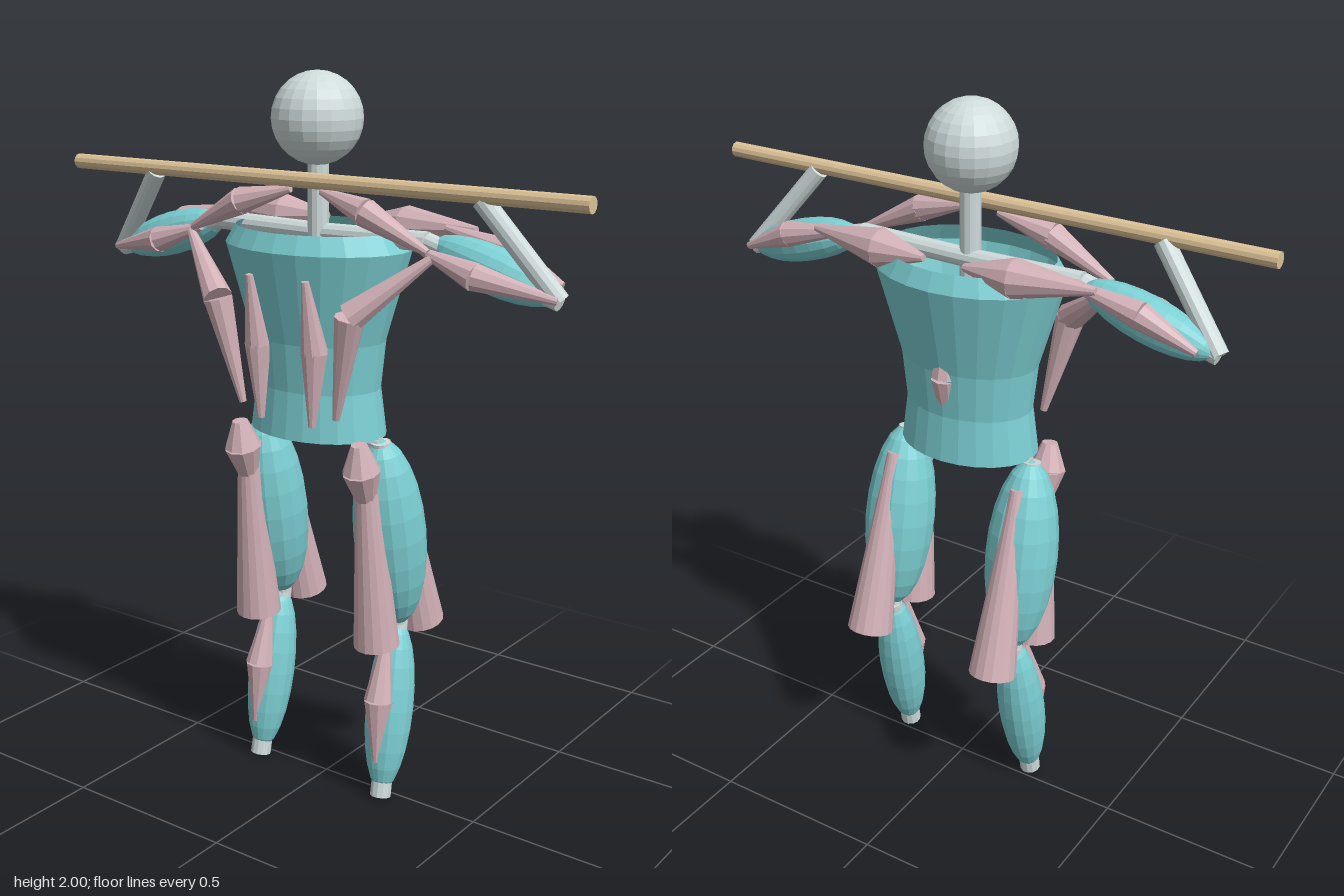
import * as THREE from 'three';

const V = (a) => new THREE.Vector3(...a);
const UP = new THREE.Vector3(0, 1, 0);

export function createModel() {
  const root = new THREE.Group();
  root.name = 'stickFigure';

  const mat = (name, color, extra = {}) => {
    const m = new THREE.MeshStandardMaterial({ color, flatShading: true, ...extra });
    m.name = name;
    return m;
  };
  const bone = mat('boneGrey', 0xcfdbdb);
  const teal = mat('bodyTeal', 0x7ccfd3);
  const shell = mat('torsoTeal', 0x7ccfd3, { side: THREE.DoubleSide });
  const pink = mat('musclePink', 0xd2b1b7);
  const wood = mat('poleTan', 0xdcc296);

  const add = (parent, name, geo, material) => {
    const m = new THREE.Mesh(geo, material);
    m.name = name;
    parent.add(m);
    return m;
  };

  // Places a y-aligned mesh midway between two points
  const align = (mesh, a, b) => {
    mesh.position.copy(a).add(b).multiplyScalar(0.5);
    mesh.quaternion.setFromUnitVectors(UP, b.clone().sub(a).normalize());
    return mesh;
  };

  // Straight rod, optionally tapered, from a to b
  const rod = (parent, name, a, b, ra, rb = ra, material = bone, sides = 12) => {
    const A = V(a), B = V(b);
    return align(add(parent, name, new THREE.CylinderGeometry(rb, ra, A.distanceTo(B), sides), material), A, B);
  };

  // Rounded limb volume along a bone
  const limb = (parent, name, a, b, r) => {
    const A = V(a), B = V(b);
    const g = new THREE.SphereGeometry(1, 16, 12).scale(r, A.distanceTo(B) / 2, r);
    return align(add(parent, name, g, teal), A, B);
  };

  // Spindle muscle: two tapered halves meeting at a thick middle
  const muscle = (parent, name, a, mid, b, r, tip = 0.01) => {
    const g = new THREE.Group();
    g.name = name;
    rod(g, name + 'Upper', a, mid, tip, r, pink, 10);
    rod(g, name + 'Lower', mid, b, r, tip, pink, 10);
    parent.add(g);
  };

  // Head, spine, pelvis and carried pole
  const Z = 0.037;
  add(root, 'head', new THREE.SphereGeometry(0.12, 20, 14), bone).position.set(0, 1.88, 0.04);
  rod(root, 'spine', [0, 1.04, Z], [0, 1.8, Z], 0.028);
  rod(root, 'pelvis', [-0.2, 1.04, 0.03], [0.2, 1.04, 0.03], 0.017);
  rod(root, 'pole', [-0.815, 1.725, 0.09], [0.815, 1.725, 0.09], 0.021, 0.021, wood);

  // Open, flattened torso shell
  const profile = [[0.2, 1.053], [0.183, 1.18], [0.197, 1.31], [0.27, 1.555], [0.24, 1.603]]
    .map(([x, y]) => new THREE.Vector2(x, y));
  const torso = add(root, 'torso', new THREE.LatheGeometry(profile, 24), shell);
  torso.scale.z = 0.74;
  torso.position.z = Z;

  muscle(root, 'backMuscle', [0, 1.5, -0.06], [0, 1.29, -0.08], [0, 1.1, -0.06], 0.042);

  // Paired parts, mirrored by the sign of x
  for (const s of [1, -1]) {
    const side = new THREE.Group();
    side.name = s > 0 ? 'leftSide' : 'rightSide';
    root.add(side);
    const p = (x, y, z) => [s * x, y, z];

    // Arm
    const shoulder = p(0.335, 1.59, 0.03), elbow = p(0.71, 1.48, 0.028);
    rod(side, 'collarBone', p(0, 1.585, 0.03), shoulder, 0.026);
    rod(side, 'upperArmBone', shoulder, elbow, 0.024);
    rod(side, 'forearm', elbow, p(0.52, 1.715, 0.085), 0.026);
    limb(side, 'upperArm', p(0.345, 1.587, 0.02), p(0.7, 1.484, 0.02), 0.06);
    muscle(side, 'biceps', p(0.36, 1.575, 0.09), p(0.51, 1.528, 0.093), p(0.715, 1.485, 0.05), 0.036);
    muscle(side, 'triceps', p(0.34, 1.615, -0.05), p(0.53, 1.57, -0.045), p(0.68, 1.505, -0.04), 0.036);

    // Shoulder and trunk muscles
    muscle(side, 'shoulderBlade', p(0.06, 1.61, -0.09), p(0.2, 1.607, -0.08), p(0.42, 1.615, -0.065), 0.052);
    muscle(side, 'chest', p(0.05, 1.7, 0.09), p(0.2, 1.66, 0.11), p(0.38, 1.575, 0.1), 0.037);
    muscle(side, 'flank', p(0.4, 1.57, 0.09), p(0.215, 1.41, 0.195), p(0.155, 1.13, 0.17), 0.04);
    muscle(side, 'abdominal', p(0.09, 1.49, 0.215), p(0.0925, 1.3, 0.18), p(0.085, 1.1, 0.18), 0.036);

    // Leg
    const hip = p(0.2, 1.045, 0.03), knee = p(0.205, 0.5, -0.06), ankle = p(0.217, 0.006, 0.038);
    rod(side, 'thighBone', hip, knee, 0.027);
    rod(side, 'shinBone', knee, ankle, 0.027, 0.03);
    limb(side, 'thigh', p(0.2, 1.05, 0.028), p(0.205, 0.5, -0.06), 0.1);
    limb(side, 'calf', p(0.206, 0.505, -0.058), p(0.216, 0.02, 0.033), 0.067);

    // Leg muscles
    muscle(side, 'hipFlexor', p(0.2, 1.06, 0.13), p(0.2, 0.985, 0.118), p(0.2, 0.88, 0.09), 0.052, 0.022);
    rod(side, 'frontThigh', p(0.2, 0.95, 0.095), p(0.207, 0.472, 0.05), 0.03, 0.064, pink, 16);
    rod(side, 'backThigh', p(0.2, 0.99, -0.04), p(0.207, 0.473, -0.172), 0.02, 0.066, pink, 16);
    muscle(side, 'shinMuscle', p(0.206, 0.48, 0.0), p(0.211, 0.3, 0.042), p(0.216, 0.12, 0.06), 0.042);
  }
  return root;
}
